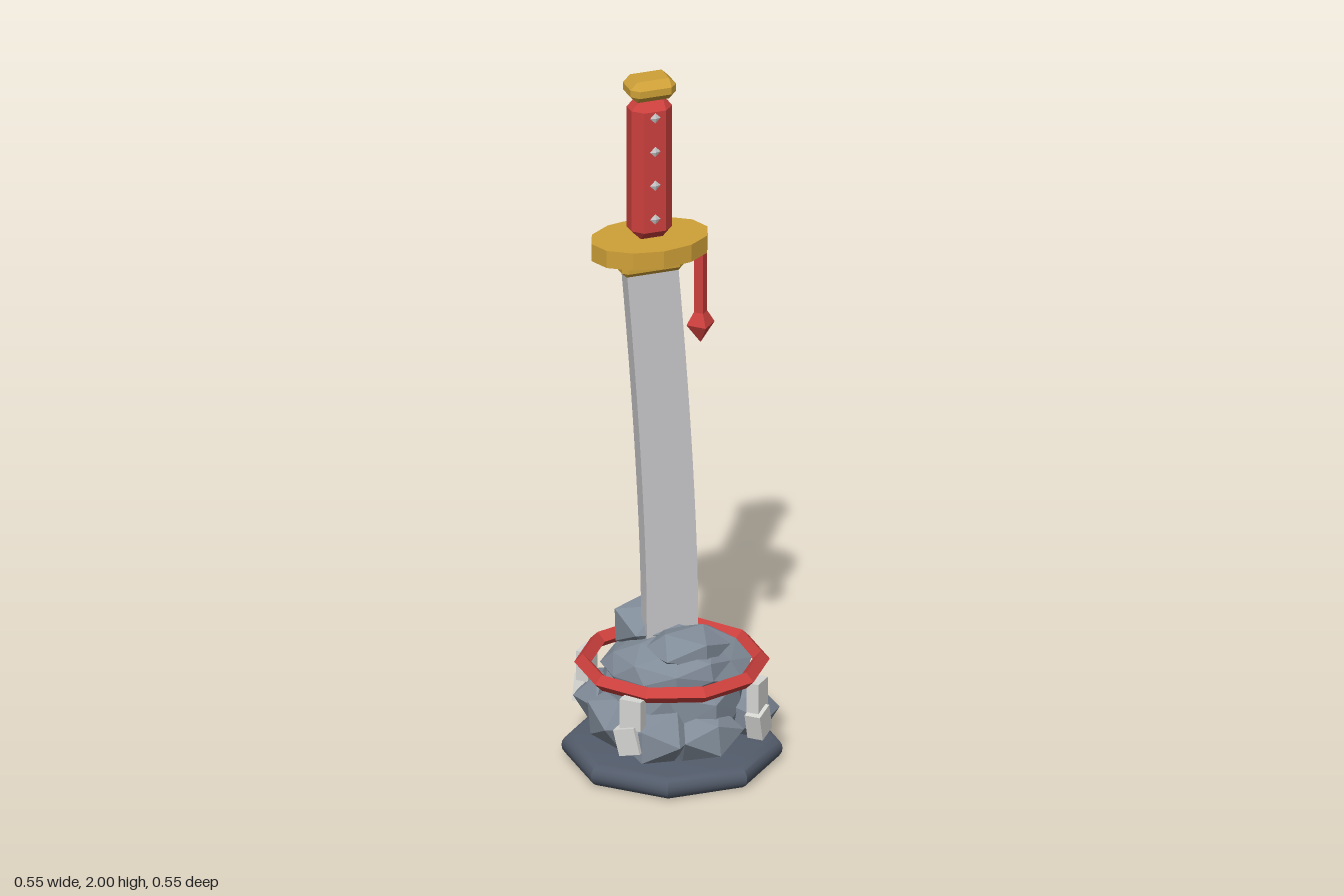
import * as THREE from 'three';
import { mergeVertices, toCreasedNormals } from 'three/addons/utils/BufferGeometryUtils.js';
import { ConvexGeometry } from 'three/addons/geometries/ConvexGeometry.js';

const mat = (name, color) => {
  const m = new THREE.MeshStandardMaterial({ color });
  m.name = name;
  return m;
};

// Faceted normals
function flat(geo) {
  const g = geo.index ? geo.toNonIndexed() : geo;
  g.computeVertexNormals();
  return g;
}

// Box with every edge chamfered by c
function chamferBox(w, h, d, c) {
  const pts = [];
  for (const sx of [-1, 1]) for (const sy of [-1, 1]) for (const sz of [-1, 1]) {
    for (let k = 0; k < 3; k++) {
      pts.push(new THREE.Vector3(
        sx * (w / 2 - (k === 0 ? 0 : c)),
        sy * (h / 2 - (k === 1 ? 0 : c)),
        sz * (d / 2 - (k === 2 ? 0 : c))));
    }
  }
  return new ConvexGeometry(pts);
}

// Angular rock: an icosahedron with each corner pushed in or out by a seeded amount
function rockGeometry(seed, detail) {
  let s = seed * 7919 + 13;
  const rand = () => ((s = (s * 16807) % 2147483647) / 2147483647);
  for (let i = 0; i < 4; i++) rand();
  let g = new THREE.IcosahedronGeometry(1, detail);
  g.deleteAttribute('normal');
  g.deleteAttribute('uv');
  g = mergeVertices(g, 1e-3);
  const p = g.attributes.position;
  for (let i = 0; i < p.count; i++) {
    const k = 0.88 + 0.2 * rand();
    p.setXYZ(i, p.getX(i) * k, p.getY(i) * k, p.getZ(i) * k);
  }
  g.rotateY(rand() * 6.28);
  return flat(g);
}

export function createModel() {
  const model = new THREE.Group();
  model.name = 'swordInStone';
  const slate = mat('dark slate', 0x535c6b);
  const stone = mat('grey stone', 0x818c99);
  const red = mat('red cord', 0xcc403d);
  const gold = mat('gold', 0xcfa138);
  const steel = mat('steel', 0xc9c9cb);
  const paper = mat('white paper', 0xd6d6d3);

  const add = (name, geo, material, x = 0, y = 0, z = 0, parent = model) => {
    const m = new THREE.Mesh(geo, material);
    m.name = name;
    m.position.set(x, y, z);
    parent.add(m);
    return m;
  };

  // Octagonal plinth with a rounded rim
  const rim = [new THREE.Vector2(0, 0)];
  for (let i = 0; i <= 8; i++) {
    const a = -Math.PI / 2 + (i / 8) * Math.PI;
    rim.push(new THREE.Vector2(0.264 + 0.031 * Math.cos(a), 0.031 + 0.031 * Math.sin(a)));
  }
  rim.push(new THREE.Vector2(0, 0.062));
  const plinth = new THREE.LatheGeometry(rim, 8).rotateY(Math.PI / 8);
  add('plinth', toCreasedNormals(plinth, 0.6), slate);

  // Stone pile: x, y, z, then half sizes, then subdivision
  const rocks = [
    [0, 0.18, 0, 0.215, 0.15, 0.215, 1],
    [0, 0.29, 0.01, 0.2, 0.085, 0.19, 1],
    [-0.02, 0.375, -0.06, 0.13, 0.085, 0.1, 0],
    [0.01, 0.35, 0.07, 0.12, 0.06, 0.1, 0],
    [0.17, 0.15, 0.09, 0.1, 0.085, 0.09, 0],
    [0.17, 0.15, -0.1, 0.1, 0.09, 0.1, 0],
    [0.02, 0.14, 0.165, 0.11, 0.08, 0.09, 0],
    [-0.1, 0.14, 0.15, 0.11, 0.085, 0.1, 0],
    [-0.16, 0.15, 0.02, 0.09, 0.09, 0.1, 0],
    [-0.12, 0.15, -0.13, 0.11, 0.09, 0.1, 0],
    [0.04, 0.14, -0.15, 0.11, 0.085, 0.08, 0],
  ];
  const pile = new THREE.Group();
  pile.name = 'stonePile';
  model.add(pile);
  rocks.forEach(([x, y, z, sx, sy, sz, detail], i) => {
    add('rock', rockGeometry(i + 1, detail), stone, x, y, z, pile).scale.set(sx, sy, sz);
  });

  // Rope ring around the stones
  const ring = new THREE.TorusGeometry(0.238, 0.023, 4, 10).rotateX(Math.PI / 2).rotateY(Math.PI / 2);
  add('ropeRing', flat(ring), red, 0, 0.283, 0);

  // Folded paper tags hanging at the four corners
  for (let i = 0; i < 4; i++) {
    const tag = new THREE.Group();
    tag.name = 'paperTag';
    tag.rotation.y = Math.PI / 4 + (i * Math.PI) / 2;
    add('tagUpper', new THREE.BoxGeometry(0.062, 0.085, 0.035), paper, 0, 0.23, 0.25, tag);
    const lower = add('tagLower', new THREE.BoxGeometry(0.062, 0.075, 0.045), paper, -0.006, 0.155, 0.256, tag);
    lower.rotation.z = 0.25;
    model.add(tag);
  }

  // Curved blade: a box whose columns follow a gentle bend
  const bladeGeo = new THREE.BoxGeometry(0.146, 1.16, 0.045, 1, 12, 1).translate(0, 0.88, 0);
  const bp = bladeGeo.attributes.position;
  for (let i = 0; i < bp.count; i++) {
    const t = Math.max(0, bp.getY(i) - 0.45);
    bp.setX(i, bp.getX(i) - 0.007 - 0.057 * Math.pow(t, 1.5));
  }
  bladeGeo.computeVertexNormals();
  add('blade', bladeGeo, steel);

  // Collar, guard, grip and pommel share one axis
  const cx = -0.064;
  add('collar', chamferBox(0.175, 0.06, 0.075, 0.014), gold, cx, 1.462, 0);
  const guard = new THREE.CylinderGeometry(1, 1, 0.05, 12).scale(0.165, 1, 0.113);
  add('guard', flat(guard), gold, cx, 1.51, 0);
  add('grip', chamferBox(0.116, 0.405, 0.09, 0.027), red, cx, 1.738, 0);
  add('pommel', chamferBox(0.13, 0.06, 0.098, 0.02), gold, cx, 1.97, 0);

  // Diamond studs on both faces of the grip
  for (const side of [-1, 1]) for (let i = 0; i < 4; i++) {
    const stud = new THREE.OctahedronGeometry(0.018).scale(1, 1, 0.35);
    add('gripStud', flat(stud), steel, cx, 1.6 + i * 0.0985, side * 0.044);
  }

  // Tassel hanging from the guard
  const tassel = [[0, 1.2], [0.04, 1.255], [0.019, 1.29], [0.019, 1.5], [0, 1.5]]
    .map(([r, y]) => new THREE.Vector2(r, y));
  add('tassel', flat(new THREE.LatheGeometry(tassel, 4)), red, 0.081, 0, 0);

  return model;
}
